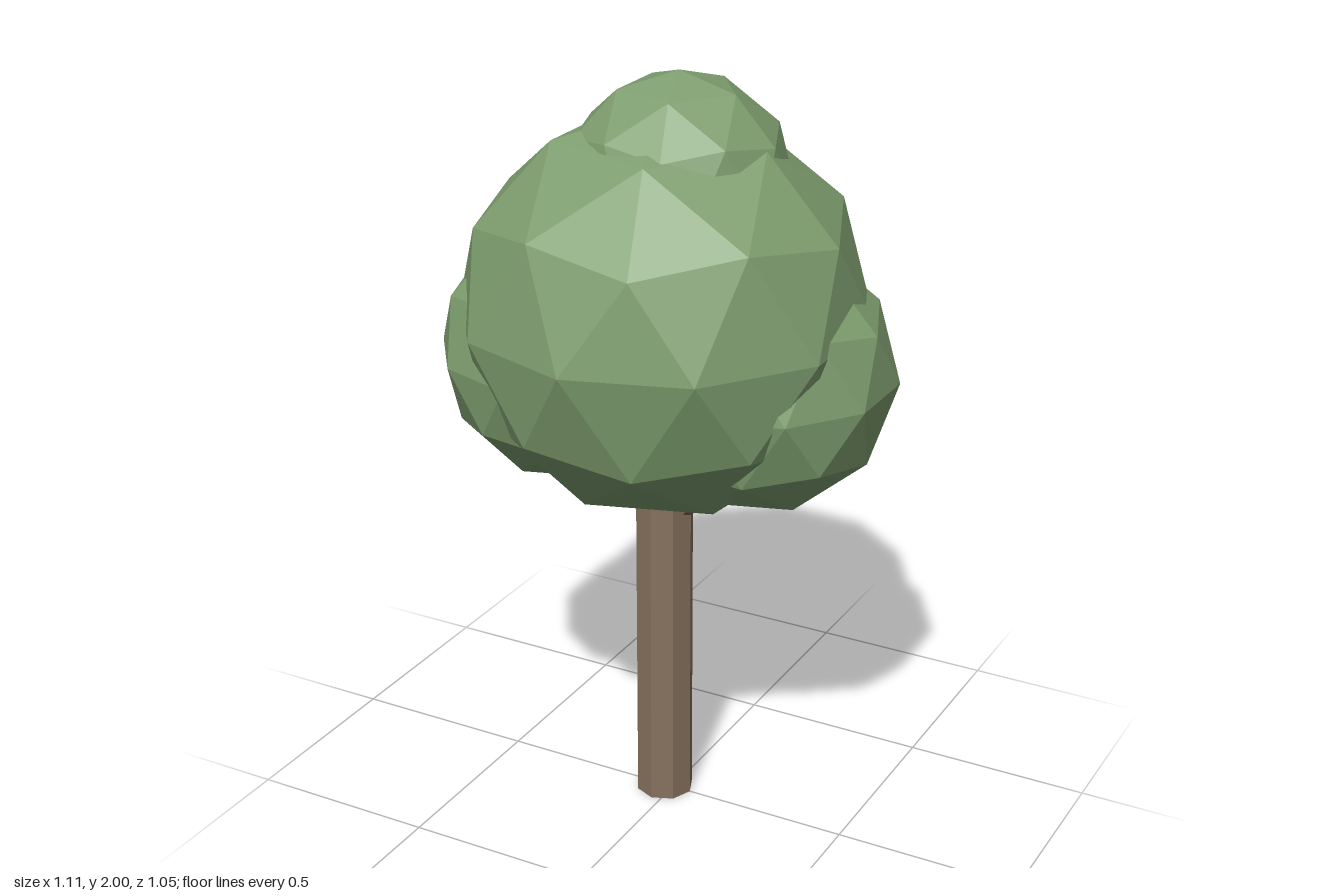
import * as THREE from 'three';

export function createModel() {
  const tree = new THREE.Group();
  tree.name = 'tree';

  const material = (name, color) => {
    const m = new THREE.MeshStandardMaterial({ color, flatShading: true });
    m.name = name;
    return m;
  };
  const leaf = material('leaf green', 0x7f9f70);
  const bark = material('bark brown', 0x86725f);
  const branchBark = material('branch brown', 0x826653);

  const add = (name, geometry, mat) => {
    const mesh = new THREE.Mesh(geometry, mat);
    mesh.name = name;
    tree.add(mesh);
    return mesh;
  };

  // Foliage: faceted balls, each turned so that one corner points straight up
  const poleTilt = -Math.atan(2 / (1 + Math.sqrt(5)));
  const foliage = [
    ['mainCrown', 0.527, -0.024, 1.39, 0],
    ['topTuft', 0.29, 0.003, 1.71, -0.026],
    ['leftLobe', 0.35, 0.22, 1.245, -0.051],
    ['rightLobe', 0.34, -0.234, 1.284, 0.095],
  ];
  for (const [name, radius, x, y, z] of foliage) {
    const ball = new THREE.IcosahedronGeometry(radius, 1).rotateZ(poleTilt);
    add(name, ball, leaf).position.set(x, y, z);
  }

  // Trunk: straight eight-sided post running up into the crown
  const trunkHeight = 1.1;
  add('trunk', new THREE.CylinderGeometry(0.077, 0.077, trunkHeight, 8), bark)
    .position.set(-0.025, trunkHeight / 2, 0);

  // Branches: short six-sided struts reaching from the trunk into the side lobes
  const addBranch = (name, from, to) => {
    const a = new THREE.Vector3(...from);
    const b = new THREE.Vector3(...to);
    const direction = b.clone().sub(a);
    const strut = new THREE.CylinderGeometry(0.03, 0.03, direction.length(), 6);
    strut.rotateY(Math.PI / 2);
    const mesh = add(name, strut, branchBark);
    mesh.position.copy(a).add(b).multiplyScalar(0.5);
    mesh.quaternion.setFromUnitVectors(new THREE.Vector3(0, 1, 0), direction.normalize());
  };
  addBranch('leftBranch', [0, 0.827, 0], [0.25, 1.08, 0]);
  addBranch('rightBranch', [-0.045, 0.8, 0], [-0.265, 1.08, 0]);

  return tree;
}
